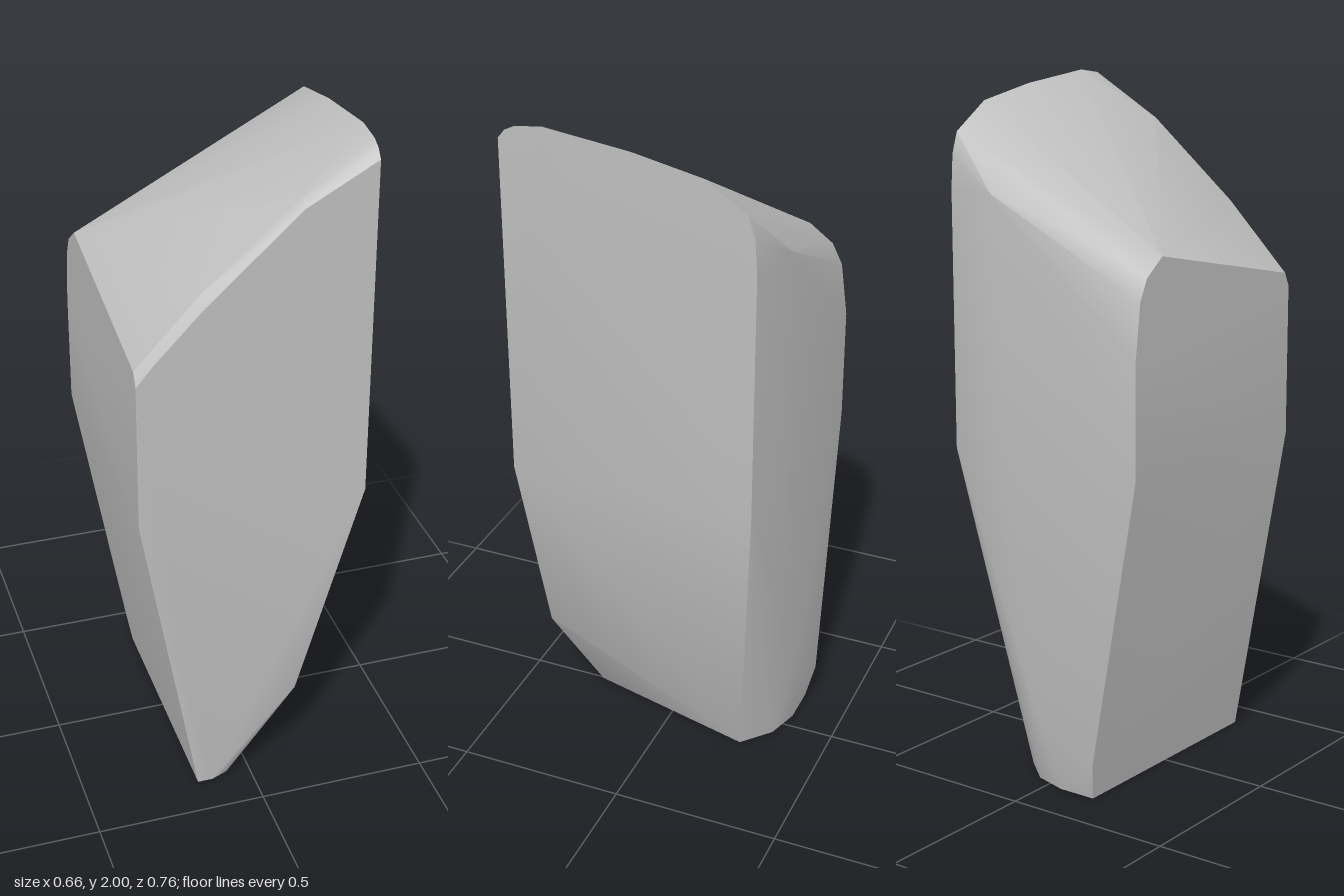
import * as THREE from 'three';
import { ConvexGeometry } from 'three/addons/geometries/ConvexGeometry.js';
import { toCreasedNormals } from 'three/addons/utils/BufferGeometryUtils.js';

export function createModel() {
  const group = new THREE.Group();
  group.name = 'stoneBlock';
  const stone = new THREE.MeshStandardMaterial({ color: 0xbebebe });
  stone.name = 'stone grey';

  const points = [];
  // add a row of points, rule maps each pair to a position
  const row = (pairs, rule) => pairs.forEach(([a, b]) => points.push(new THREE.Vector3(...rule(a, b))));

  // tall left side: z, y outline
  row([[0.38, 1.95], [0.36, 1.975], [0.33, 1.99], [0.25, 2], [0, 1.97], [-0.2, 1.93],
    [-0.32, 1.85], [-0.34, 1.79], [-0.347, 1.69], [-0.345, 0.95], [0.38, 0.95]],
  (z, y) => [0.33, y, z]);

  // short right side: z, y outline
  row([[0.38, 1.39], [0.36, 1.43], [-0.26, 1.546], [-0.33, 1.495], [-0.36, 1.435],
    [-0.38, 1.28], [-0.38, 0.95], [0.38, 0.95]],
  (z, y) => [-0.33, y, z]);

  // bevelled upper edge of the front: x, y
  row([[-0.28, 1.45], [-0.14, 1.595], [0.13, 1.84]], (x, y) => [x, y, 0.38]);
  row([[-0.14, 1.63], [0.13, 1.86]], (x, y) => [x, y, 0.355]);

  // lower corner cut of the front: x, y
  row([[0.135, 0.29], [-0.12, 0]], (x, y) => [x, y, 0.38]);

  // back face: x, y
  row([[0.16, 1.69], [0.16, 0.95], [0.03, 0.25], [-0.182, 0.105]], (x, y) => [x, y, -0.38]);

  // foot outline: x, z
  row([[-0.165, 0.38], [-0.07, 0.36], [0.005, 0.27], [0.135, -0.25], [0.05, -0.325],
    [-0.05, -0.355], [-0.165, -0.355]],
  (x, z) => [x, 0, z]);

  const body = new THREE.Mesh(toCreasedNormals(new ConvexGeometry(points), 0.52), stone);
  body.name = 'stoneBody';
  group.add(body);
  return group;
}
